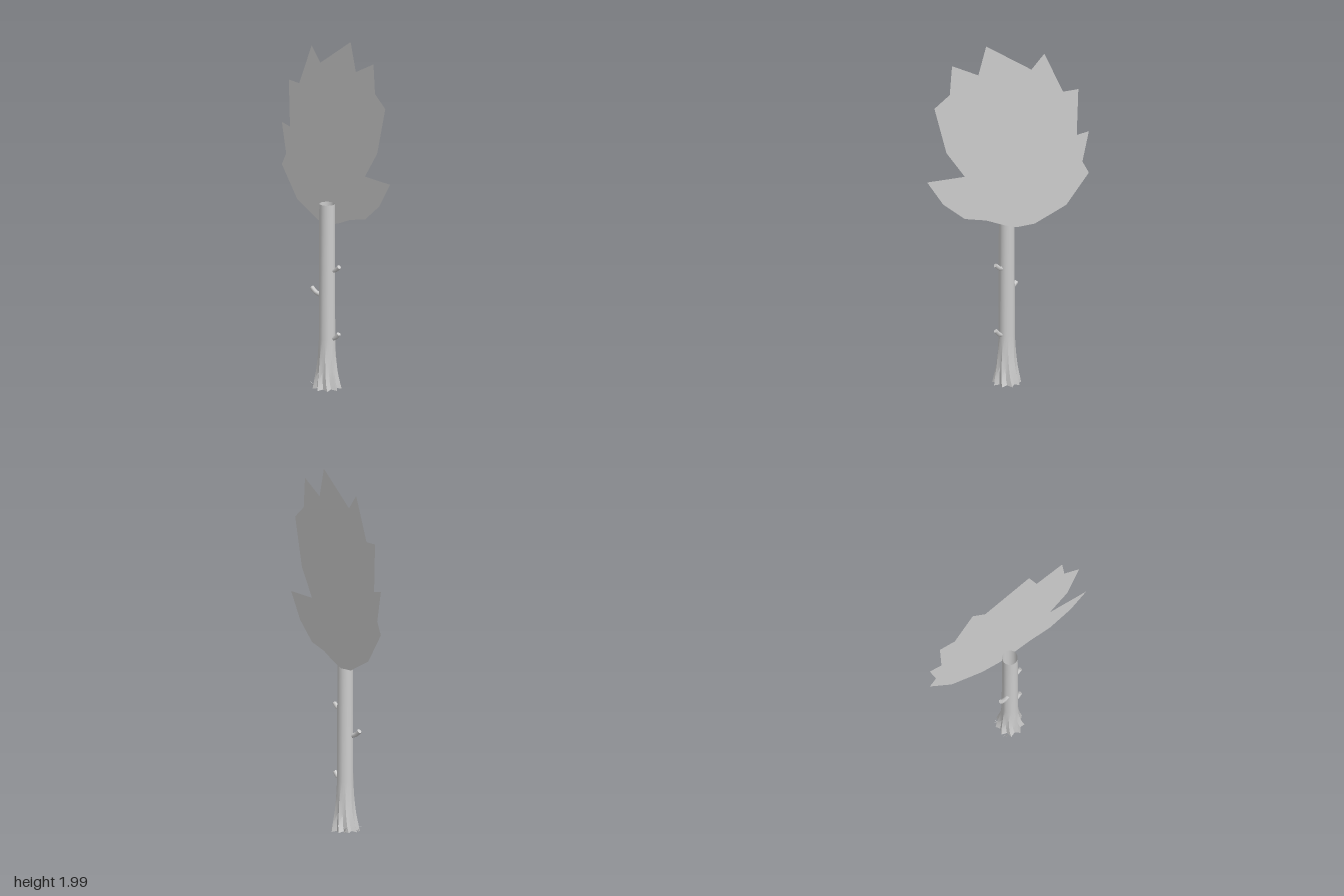
import * as THREE from 'three';
import { toCreasedNormals } from 'three/addons/utils/BufferGeometryUtils.js';

const material = new THREE.MeshStandardMaterial({ color: 0xcccccc, side: THREE.DoubleSide });
const CENTRE = new THREE.Vector3(-0.017, 0, -0.006);

function add(parent, name, geometry) {
  const mesh = new THREE.Mesh(geometry, material);
  mesh.name = name;
  parent.add(mesh);
  return mesh;
}

// Hollow trunk: rings from the fluted, slightly twisted root flare up to a round top
function trunkGeometry() {
  // [height, radius, flute depth, twist]
  const rings = [
    [0.008, 0.081, 0.013, 0.25], [0.045, 0.073, 0.011, 0.16], [0.11, 0.060, 0.007, 0.08],
    [0.19, 0.051, 0.003, 0.03], [0.29, 0.045, 0, 0], [1.055, 0.043, 0, 0],
  ];
  const sides = 18;
  const position = [], index = [];
  rings.forEach(([y, r, flute, twist], j) => {
    for (let i = 0; i < sides; i++) {
      const a = (i / sides) * Math.PI * 2 + twist;
      const radius = r - (i % 2 ? flute * 1.4 : 0);
      const lift = j === 0 && i % 2 ? 0.008 : 0;
      position.push(radius * Math.sin(a), y + lift, radius * Math.cos(a));
      if (j < rings.length - 1) {
        const p = j * sides + i, q = j * sides + (i + 1) % sides;
        index.push(p, q, q + sides, p, q + sides, p + sides);
      }
    }
  });
  const geometry = new THREE.BufferGeometry();
  geometry.setAttribute('position', new THREE.Float32BufferAttribute(position, 3));
  geometry.setIndex(index);
  return toCreasedNormals(geometry, 0.6);
}

// Short broken branch: a bent stub that narrows a little, with a closed tip
function addBranch(parent, name, points, radius) {
  const curve = new THREE.CatmullRomCurve3(points.map((p) => new THREE.Vector3(...p)));
  const stub = new THREE.Group();
  stub.name = name;
  add(stub, 'branchStub', new THREE.TubeGeometry(curve, 4, radius, 7));
  const cap = add(stub, 'branchTip', new THREE.CircleGeometry(radius, 7));
  cap.position.copy(curve.getPoint(1));
  cap.quaternion.setFromUnitVectors(new THREE.Vector3(0, 0, 1), curve.getTangent(1));
  parent.add(stub);
}

// Small pointed sprout made of three thin blades
function addSprout(parent, x, z, heading) {
  const sprout = new THREE.Group();
  sprout.name = 'sprout';
  const blade = new THREE.PlaneGeometry(0.008, 0.034, 1, 3).translate(0, 0.017, 0);
  const p = blade.attributes.position;
  for (let i = 0; i < p.count; i++) {
    const t = p.getY(i) / 0.034;
    p.setXYZ(i, p.getX(i) * (1 - t), p.getY(i), 0.024 * t * t);
  }
  blade.computeVertexNormals();
  for (const turn of [-0.8, 0, 0.8]) add(sprout, 'sproutBlade', blade).rotation.y = heading + turn;
  sprout.position.set(x, 0.008, z);
  parent.add(sprout);
}

export function createModel() {
  const tree = new THREE.Group();
  tree.name = 'tree';

  add(tree, 'trunk', trunkGeometry()).position.copy(CENTRE);

  addBranch(tree, 'upperBranch', [[0.012, 0.68, -0.018], [0.036, 0.687, -0.024], [0.064, 0.71, -0.028]], 0.012);
  addBranch(tree, 'lowerBranch', [[0.012, 0.293, -0.016], [0.038, 0.304, -0.022], [0.062, 0.329, -0.027]], 0.012);
  addBranch(tree, 'middleBranch', [[-0.042, 0.537, 0.018], [-0.072, 0.547, 0.03], [-0.100, 0.57, 0.037]], 0.013);

  addSprout(tree, -0.073, 0.045, -0.4);
  addSprout(tree, -0.073, -0.04, -1.6);

  // Flat jagged crown just behind the trunk
  const outline = [
    [0.135, 2.0], [0.183, 1.84], [0.346, 1.92], [0.36, 1.755], [0.455, 1.69], [0.38, 1.42],
    [0.267, 1.265], [0.5, 1.27], [0.4, 1.125], [0.267, 1.02], [0.135, 0.99], [0.025, 0.945],
    [-0.055, 0.92], [-0.165, 0.923], [-0.36, 1.0], [-0.5, 1.165], [-0.46, 1.235], [-0.5, 1.405],
    [-0.425, 1.395], [-0.435, 1.66], [-0.34, 1.66], [-0.225, 1.9], [-0.145, 1.82],
  ].map(([x, y]) => new THREE.Vector2(x, y));
  add(tree, 'crown', new THREE.ShapeGeometry(new THREE.Shape(outline))).position.z = -0.054;

  return tree;
}
